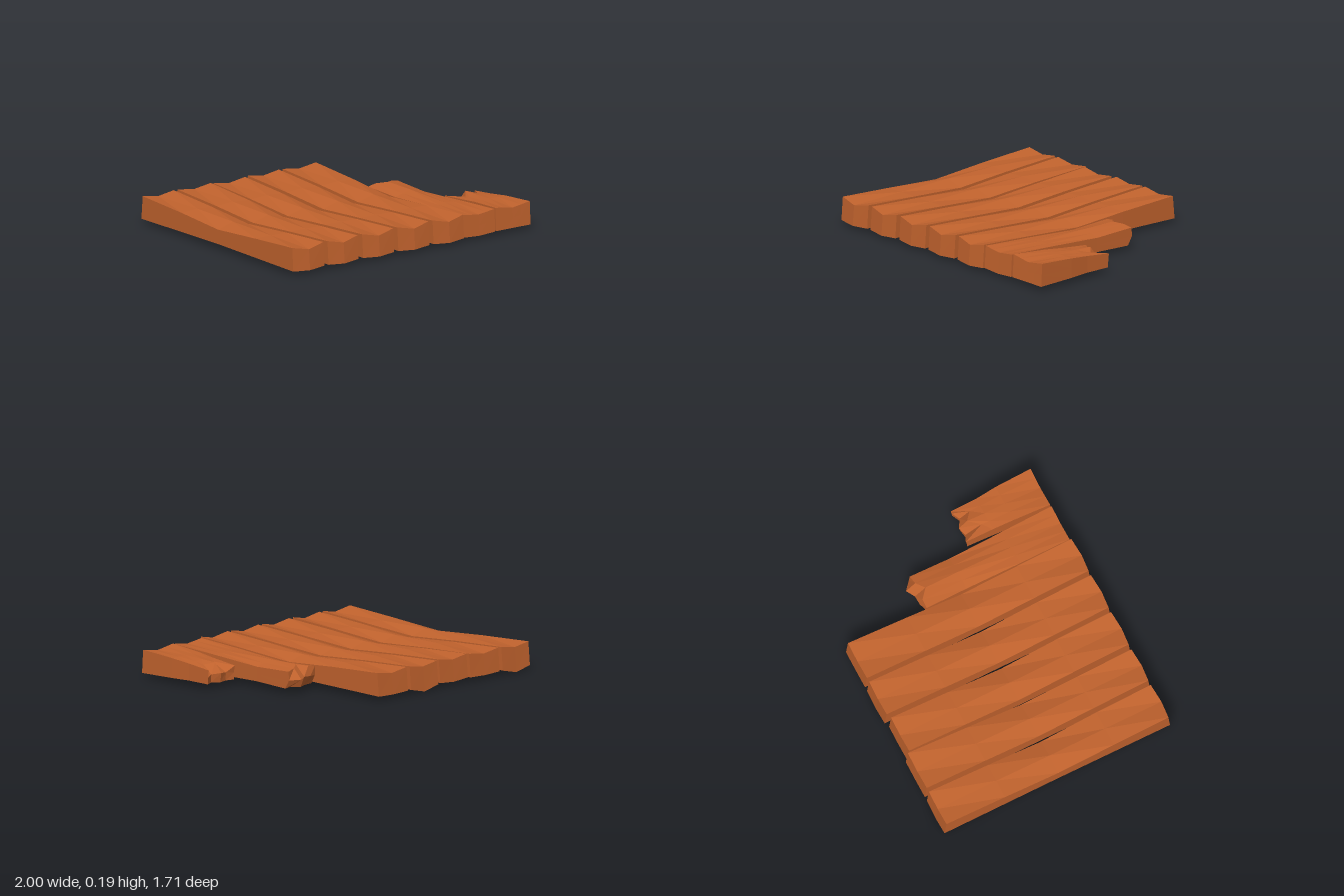
import * as THREE from 'three';

const wood = new THREE.MeshStandardMaterial({ color: 0xc0622d, flatShading: true });

// Skins grid[section][layer][column]; sections run front to back, layers top to bottom.
function skin(grid) {
  const pos = [];
  const S = grid.length, L = grid[0].length, C = grid[0][0].length;
  const quad = (a, b, c, d) => pos.push(...a, ...b, ...c, ...a, ...c, ...d);
  for (let s = 0; s < S - 1; s++) {
    const f = grid[s], b = grid[s + 1];
    for (let c = 0; c < C - 1; c++) {
      quad(f[0][c], f[0][c + 1], b[0][c + 1], b[0][c]);
      quad(b[L - 1][c], b[L - 1][c + 1], f[L - 1][c + 1], f[L - 1][c]);
    }
    for (let l = 0; l < L - 1; l++) {
      quad(b[l][0], b[l + 1][0], f[l + 1][0], f[l][0]);
      quad(f[l][C - 1], f[l + 1][C - 1], b[l + 1][C - 1], b[l][C - 1]);
    }
  }
  const front = grid[0], back = grid[S - 1];
  for (let l = 0; l < L - 1; l++) for (let c = 0; c < C - 1; c++) {
    quad(front[l + 1][c], front[l + 1][c + 1], front[l][c + 1], front[l][c]);
    quad(back[l][c], back[l][c + 1], back[l + 1][c + 1], back[l + 1][c]);
  }
  const g = new THREE.BufferGeometry();
  g.setAttribute('position', new THREE.Float32BufferAttribute(pos, 3));
  g.computeVertexNormals();
  return g;
}

// Section: [z, xLeft, xRight, topEdge, topMid, bottomEdge, bottomMid]
// endZ(section, layer 0..1, column, m) shifts z; m is 1 on the centre line.
function plank(name, sections, columns, layers, zAt) {
  const grid = sections.map((s, i) => {
    const [z, x0, x1, te, tm, be, bm] = s;
    return Array.from({ length: layers }, (_, l) => Array.from({ length: columns }, (_, c) => {
      const u = c / (columns - 1), m = 1 - Math.abs(2 * u - 1), t = l / (layers - 1);
      const top = te + (tm - te) * m, bottom = be + (bm - be) * m;
      return [x0 + (x1 - x0) * u, top + (bottom - top) * t, z + zAt(i, l, c, m, t)];
    }));
  });
  const mesh = new THREE.Mesh(skin(grid), wood);
  mesh.name = name;
  return mesh;
}

export function createModel() {
  const group = new THREE.Group();
  group.name = 'brokenPlankFloor';

  // Whole planks: [front x0, x1, back x0, x1, back z, lowest point at the back]
  const whole = [
    [-1, -0.74, -1, -0.74, -0.84, 0],
    [-0.705, -0.455, -0.71, -0.43, -0.84, 0.025],
    [-0.415, -0.155, -0.42, -0.155, -0.825, 0.02],
    [-0.12, 0.14, -0.12, 0.14, -0.84, 0],
    [0.175, 0.43, 0.17, 0.45, -0.84, 0.025],
  ];
  whole.forEach(([f0, f1, b0, b1, zb, low], i) => {
    const mix = (a, b, t) => a + (b - a) * t;
    const sections = [
      [0.83, f0, f1, 0.192, 0.165, 0.03, 0.022],
      [0.42, f0, f1, 0.168, 0.17, 0.035, 0.03],
      [0, mix(f0, b0, 0.4), mix(f1, b1, 0.4) - 0.008, 0.14, 0.175, 0.04, 0.04],
      [-0.4, mix(f0, b0, 0.7), mix(f1, b1, 0.7) - 0.004, 0.168, 0.178, 0.036, 0.03],
      [zb, b0, b1, 0.19, 0.17, 0.03, low],
    ];
    group.add(plank('plank' + (i + 1), sections, 3, 2, (s, l, c, m, t) =>
      s === 0 ? 0.012 * t + 0.014 * m : s === 4 ? -0.015 * t : 0));
  });

  // Broken planks: splintered back edge given as z per layer and column
  const broken = [
    {
      sections: [
        [0.82, 0.435, 0.7, 0.185, 0.168, 0.03, 0.022],
        [0.45, 0.44, 0.695, 0.165, 0.17, 0.035, 0.03],
        [0.05, 0.45, 0.693, 0.14, 0.175, 0.04, 0.04],
        [0, 0.445, 0.697, 0.15, 0.175, 0.03, 0.025],
      ],
      splinters: [
        [-0.25, -0.25, -0.195, -0.24, -0.25],
        [-0.25, -0.27, -0.275, -0.31, -0.255],
        [-0.22, -0.22, -0.24, -0.2, -0.22],
      ],
    },
    {
      sections: [
        [0.815, 0.712, 1, 0.19, 0.168, 0.03, 0.03],
        [0.55, 0.732, 0.997, 0.172, 0.172, 0.035, 0.032],
        [0.4, 0.742, 0.987, 0.155, 0.168, 0.038, 0.038],
        [0, 0.75, 0.99, 0.135, 0.165, 0.038, 0.035],
      ],
      splinters: [
        [0.2, 0.35, 0.27, 0.32, 0.21],
        [0.21, 0.225, 0.21, 0.245, 0.215],
        [0.21, 0.23, 0.22, 0.25, 0.22],
      ],
    },
  ];
  broken.forEach(({ sections, splinters }, i) =>
    group.add(plank('brokenPlank' + (i + 1), sections, 5, 3, (s, l, c, m, t) =>
      s === 3 ? splinters[l][c] : s === 0 ? 0.01 * t : 0)));

  return group;
}
